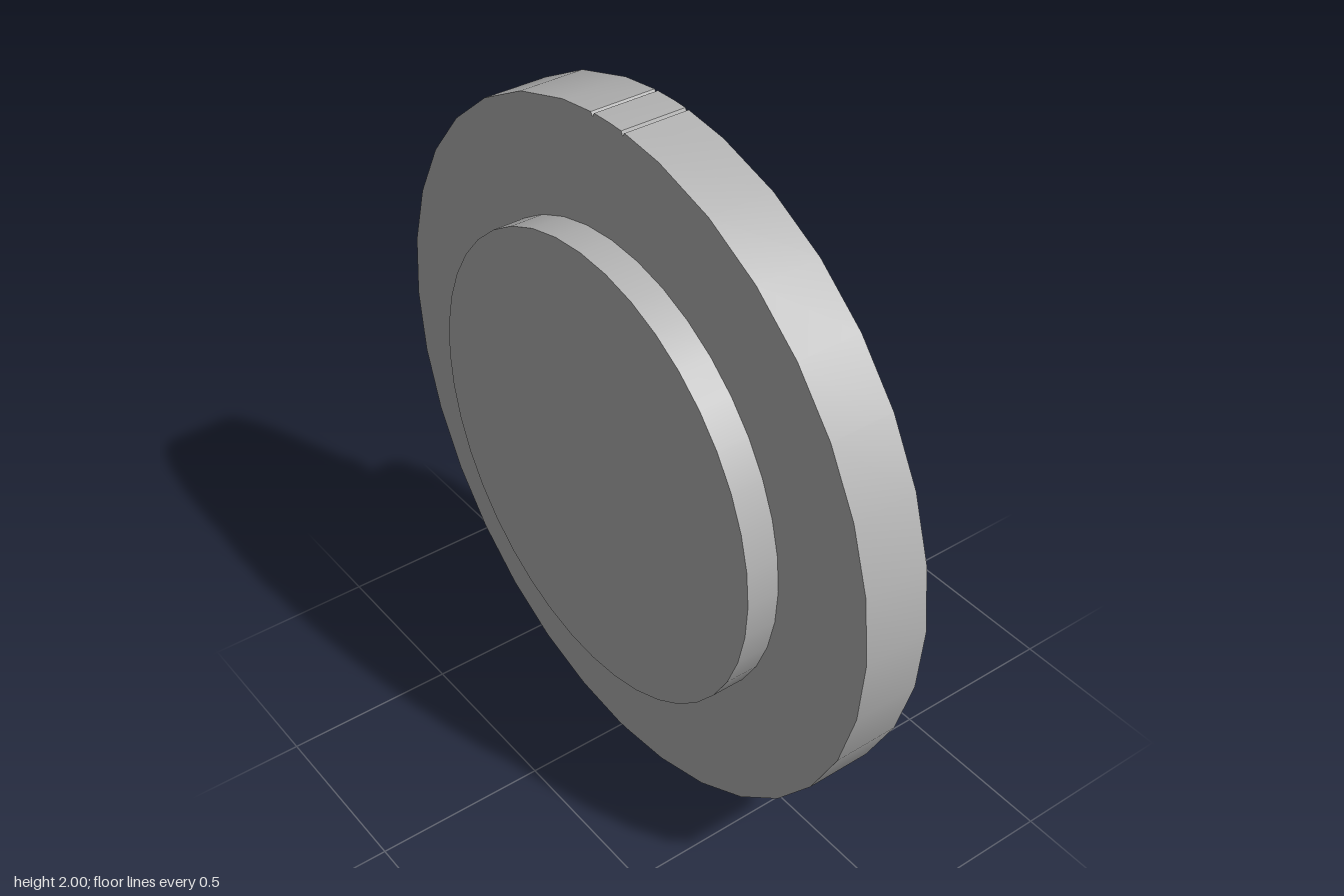
import * as THREE from 'three';
import { toCreasedNormals } from 'three/addons/utils/BufferGeometryUtils.js';

const DEG = Math.PI / 180;
const FACE = 0.075, BACK = -0.19;      // front and back planes of the main disc
const steel = new THREE.MeshStandardMaterial({ color: 0xb3b3b3 });
steel.name = 'steel grey';

const polar = (r, a, z) => [r * Math.cos(a), r * Math.sin(a), z];

function circlePath(x, y, r) {
  const path = new THREE.Path();
  path.absarc(x, y, r, 0, Math.PI * 2, true);
  return path;
}

// Angles round the disc, with a radial slot at the bottom and two fine grooves in the rim at the top
function discAngles() {
  const list = [];
  for (let i = 0; i < 32; i++) {
    const a = i * 11.25 * DEG;
    if (i === 8) {
      for (const [da, r] of [[-0.075, 1], [-0.069, 0.988], [-0.062, 1], [0, 1], [0.048, 1], [0.054, 0.988], [0.061, 1]])
        list.push({ a: a + da, r });
    } else if (i === 24) {
      list.push({ a: a - 0.017, r: 1, slot: true }, { a: a + 0.017, r: 1 });
    } else list.push({ a, r: 1 });
  }
  return list;
}

// Rim wall, chamfer cone, back face and slot of the main disc
function discBody(angles) {
  const pos = [];
  const fan = (...p) => {
    for (let i = 1; i < p.length - 1; i++) pos.push(...p[0], ...p[i], ...p[i + 1]);
  };
  const band = (s, e, r0, z0, r1, z1) => fan(
    polar(r0 * s.r, s.a, z0), polar(r0 * e.r, e.a, z0),
    polar(r1 === 1 ? e.r : r1, e.a, z1), polar(r1 === 1 ? s.r : r1, s.a, z1));
  angles.forEach((s, i) => {
    const e = angles[(i + 1) % angles.length];
    const top = s.slot ? -0.03 : 0;
    band(s, e, 1, BACK, 1, top);
    fan([0, 0, BACK], polar(e.r, e.a, BACK), polar(s.r, s.a, BACK));
    if (!s.slot) return band(s, e, 1, 0, 0.8, FACE);
    band(s, e, 1, top, 0.73, 0.05);
    band(s, e, 0.73, 0.05, 0.73, FACE);
    const side = [[1, top], [0.73, 0.05], [0.73, FACE], [0.8, FACE], [1, 0]];
    fan(...side.map(([r, z]) => polar(r, s.a, z)));
    fan(...side.reverse().map(([r, z]) => polar(r, e.a, z)));
  });
  const geo = new THREE.BufferGeometry();
  geo.setAttribute('position', new THREE.Float32BufferAttribute(pos, 3));
  return toCreasedNormals(geo, 0.3);
}

// Flat front face with three small pin holes
function discFace(angles, pins) {
  const pts = [];
  angles.forEach((s, i) => {
    pts.push(new THREE.Vector2(...polar(0.8, s.a, 0)));
    if (s.slot) for (const a of [s.a, angles[i + 1].a]) pts.push(new THREE.Vector2(...polar(0.73, a, 0)));
  });
  const shape = new THREE.Shape(pts);
  for (const [x, y] of pins) shape.holes.push(circlePath(x, y, 0.035));
  return new THREE.ShapeGeometry(shape, 16).translate(0, 0, FACE);
}

// Scalloped hub with a central bore and eight holes
function hubGeometry() {
  const R = 0.55, C = 0.61, S = 0.083, n = 12;
  const beta = Math.acos((R * R + C * C - S * S) / (2 * R * C));
  const gamma = Math.atan2(R * Math.sin(beta), C - R * Math.cos(beta));
  const shape = new THREE.Shape();
  for (let k = 0; k < n; k++) {
    const t = (15 + 30 * k) * DEG;
    shape.absarc(0, 0, R, t - 30 * DEG + beta, t - beta, false);
    shape.absarc(C * Math.cos(t), C * Math.sin(t), S, t + Math.PI + gamma, t + Math.PI - gamma, true);
  }
  shape.holes.push(circlePath(0, 0, 0.28));
  for (let k = 0; k < 8; k++) {
    const [x, y] = polar(0.435, k * 45 * DEG, 0);
    shape.holes.push(circlePath(x, y, 0.062));
  }
  const b = 0.011;
  const geo = new THREE.ExtrudeGeometry(shape, {
    depth: 0.28 - b - 0.04, curveSegments: 20,
    bevelEnabled: true, bevelSize: b, bevelThickness: b, bevelOffset: -b, bevelSegments: 1,
  });
  geo.translate(0, 0, 0.04);
  return toCreasedNormals(geo, 0.5);
}

export function createModel() {
  const model = new THREE.Group();
  model.name = 'flangedHub';
  const axle = new THREE.Group();      // built along z, then turned to face +x
  axle.name = 'wheelAssembly';
  axle.rotation.y = Math.PI / 2;
  axle.position.y = 1;
  model.add(axle);

  const add = (name, geo, x = 0, y = 0, z = 0) => {
    const mesh = new THREE.Mesh(geo, steel);
    mesh.name = name;
    mesh.position.set(x, y, z);
    axle.add(mesh);
    return mesh;
  };

  const angles = discAngles();
  const pins = [90, 210, 330].map((d) => polar(0.62, d * DEG, 0));
  add('disc', discBody(angles));
  add('discFace', discFace(angles, pins));

  // Wells behind the pin holes: wall and floor seen from inside
  const well = new THREE.LatheGeometry(
    [[0.035, 0], [0.035, -0.08], [0.0001, -0.08]].map(([r, y]) => new THREE.Vector2(r, y)), 16).rotateX(Math.PI / 2);
  for (const [x, y] of pins) add('pinHole', toCreasedNormals(well.toNonIndexed(), 0.5), x, y, FACE);

  // Raised boss on the back
  add('backBoss', new THREE.CylinderGeometry(0.675, 0.675, 0.135, 40).rotateX(Math.PI / 2), 0, 0, -0.2175);

  // Hub and the fillet at its foot
  add('hub', hubGeometry());
  const fillet = [];
  for (let i = 0; i <= 4; i++) {
    const t = (i / 4) * 90 * DEG;
    fillet.push(new THREE.Vector2(0.58 - 0.032 * Math.sin(t), FACE + 0.032 * (1 - Math.cos(t))));
  }
  add('hubFillet', new THREE.LatheGeometry(fillet, 64).rotateX(Math.PI / 2));

  // Ring of twelve studs sitting in the scallops
  const stud = new THREE.CylinderGeometry(0.079, 0.079, 0.075, 28).rotateX(Math.PI / 2);
  for (let k = 0; k < 12; k++) {
    const [x, y] = polar(0.61, (15 + 30 * k) * DEG, 0);
    add('stud', stud, x, y, 0.0925);
  }
  return model;
}
